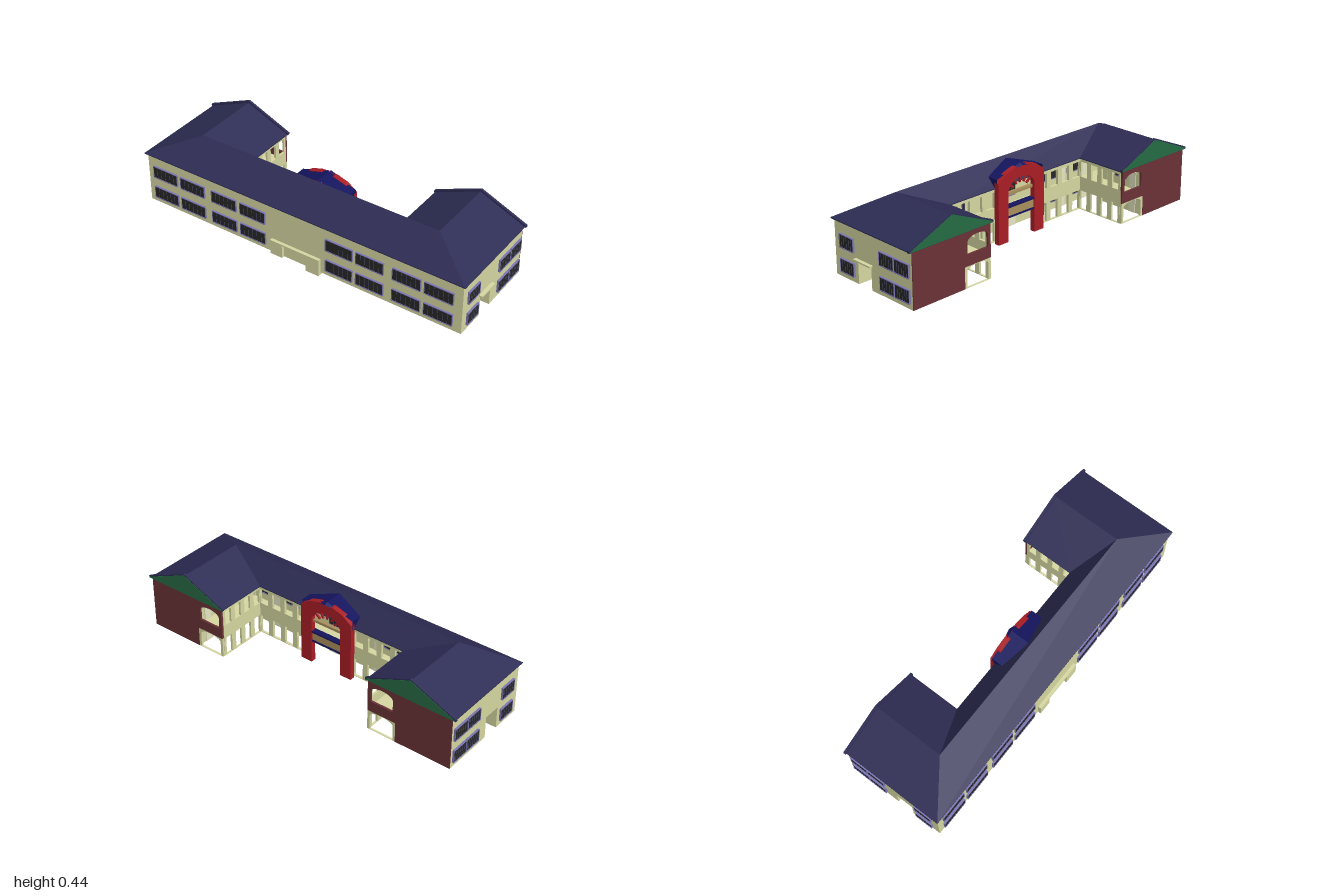
import * as THREE from 'three';

const mat = (color, side = THREE.FrontSide) => new THREE.MeshStandardMaterial({ color, side, flatShading: true });
const WALL = mat(0xd6d8a2), ROOF = mat(0x2d2c54, THREE.DoubleSide), GLASS = mat(0x262626), FRAME = mat(0x7c76b4);
const BRICK = mat(0x6b3236), RED = mat(0xaa1e26), GREEN = mat(0x266b43), BLUE = mat(0x14145e, THREE.DoubleSide);
const TAN = mat(0xa98f5c), DOOR = mat(0xe6e6c4), LINE = mat(0x55557a);

function add(parent, name, geo, material) {
  const m = new THREE.Mesh(geo, material);
  m.name = name;
  parent.add(m);
  return m;
}

// Box given by its limits on each axis
function box(parent, name, material, x0, x1, y0, y1, z0, z1) {
  const m = add(parent, name, new THREE.BoxGeometry(Math.abs(x1 - x0), y1 - y0, z1 - z0), material);
  m.position.set((x0 + x1) / 2, (y0 + y1) / 2, (z0 + z1) / 2);
  return m;
}

// Flat polygons, each a fan of corner points
function facets(parent, name, material, polys) {
  const p = [];
  for (const q of polys) for (let i = 1; i < q.length - 1; i++) p.push(...q[0], ...q[i], ...q[i + 1]);
  const g = new THREE.BufferGeometry();
  g.setAttribute('position', new THREE.Float32BufferAttribute(p, 3));
  g.computeVertexNormals();
  return add(parent, name, g, material);
}

// Opening with a straight or arched head
function opening(x0, x1, y0, y1, rise = 0) {
  const h = new THREE.Path();
  h.moveTo(x0, y0).lineTo(x1, y0).lineTo(x1, y1 - rise);
  if (rise) h.absellipse((x0 + x1) / 2, y1 - rise, (x1 - x0) / 2, rise, 0, Math.PI, false);
  else h.lineTo(x1, y1).lineTo(x0, y1);
  h.closePath();
  return h;
}

// Upright panel with openings
function panel(parent, name, material, x0, x1, y0, y1, depth, holes) {
  const s = new THREE.Shape([[x0, y0], [x1, y0], [x1, y1], [x0, y1]].map(a => new THREE.Vector2(...a)));
  s.holes = holes;
  return add(parent, name, new THREE.ExtrudeGeometry(s, { depth, bevelEnabled: false, curveSegments: 8 }), material);
}

// Window that looks along +z, centred on its own origin
function windowUnit(parent, x, y, z, turn, w = 0.162, h = 0.07) {
  const g = new THREE.Group();
  g.name = 'window';
  box(g, 'glass', GLASS, -w / 2, w / 2, -h / 2, h / 2, -0.004, 0.005);
  for (const s of [-1, 1]) {
    box(g, 'frameRail', FRAME, -w / 2, w / 2, s * h / 2 - 0.002, s * h / 2 + 0.002, -0.004, 0.008);
    box(g, 'frameSide', FRAME, s * w / 2 - 0.001, s * w / 2 + 0.001, -h / 2, h / 2, -0.004, 0.008);
  }
  for (let i = 1; i < 6; i++) {
    const mx = -w / 2 + w * i / 6;
    box(g, 'mullion', LINE, mx - 0.0008, mx + 0.0008, -h / 2, h / 2, 0, 0.006);
  }
  g.position.set(x, y, z);
  g.rotation.y = turn;
  parent.add(g);
}

// Openings of the two gallery storeys, evenly spaced
function galleryHoles(x0, x1, bays) {
  const holes = [], step = (x1 - x0) / bays;
  for (let i = 0; i < bays; i++) {
    const a = x0 + i * step + 0.015, b = x0 + (i + 1) * step - 0.015;
    holes.push(opening(a, b, 0.205, 0.292), opening(a, b, 0.018, 0.125));
  }
  return holes;
}

export function createModel() {
  const model = new THREE.Group();
  model.name = 'courtyardBuilding';

  // Main range and its corridor
  box(model, 'frontRooms', WALL, -0.975, 0.975, 0.015, 0.312, 0.11, 0.282);
  box(model, 'corridorFloor', WALL, -0.975, 0.975, 0.14, 0.15, 0.01, 0.11);
  for (const x of [-0.857, -0.672, -0.462, -0.275, 0.265, 0.448, 0.662, 0.845])
    for (const y of [0.08, 0.21]) windowUnit(model, x, y, 0.284, 0);

  // Front entrance surround
  box(model, 'entranceLintel', WALL, -0.155, 0.15, 0.09, 0.1, 0.28, 0.3);
  box(model, 'entrancePier', WALL, -0.155, -0.08, 0.015, 0.09, 0.28, 0.3);
  box(model, 'entrancePier', WALL, 0.07, 0.15, 0, 0.09, 0.28, 0.3);
  box(model, 'entranceFooting', WALL, 0.07, 0.15, 0, 0.015, 0.178, 0.28);

  for (const s of [-1, 1]) {
    const wing = new THREE.Group();
    wing.name = s > 0 ? 'leftWing' : 'rightWing';
    model.add(wing);

    // Rooms, upper passage end, gallery floor
    box(wing, 'wingRooms', WALL, s * 0.65, s * 0.975, 0.015, 0.312, -0.289, 0.01);
    box(wing, 'passageEndWall', WALL, s * 0.96, s * 0.975, 0.142, 0.312, 0.01, 0.11);
    box(wing, 'galleryFloor', WALL, s * 0.48, s * 0.65, 0.14, 0.15, -0.28, 0.01);
    box(wing, 'brickEndWall', BRICK, s * 0.65, s * 0.975, 0.015, 0.315, -0.293, -0.288);

    // End of the gallery: arches over two storeys
    const a = Math.min(s * 0.48, s * 0.65), b = a + 0.17;
    panel(wing, 'upperEndArch', BRICK, a, b, 0.13, 0.312, 0.012,
      [opening(a + 0.018, b - 0.018, 0.19, 0.285, 0.03)]).position.z = -0.293;
    panel(wing, 'lowerEndArch', WALL, a, b, 0.015, 0.13, 0.012,
      [opening(a + 0.015, b - 0.015, 0.017, 0.127, 0.025)]).position.z = -0.292;

    // Gallery front towards the court
    const side = panel(wing, 'wingGallery', WALL, -0.02, 0.28, 0.015, 0.312, 0.012, galleryHoles(-0.02, 0.28, 4));
    side.rotation.y = Math.PI / 2;
    side.position.x = s > 0 ? 0.478 : -0.49;
    const c = Math.min(s * 0.15, s * 0.49);
    panel(wing, 'courtGallery', WALL, c, c + 0.34, 0.015, 0.312, 0.015, galleryHoles(c, c + 0.34, 4)).position.z = 0.01;

    // Outer side windows
    for (const y of [0.08, 0.21]) for (const z of [0.187, -0.112, -0.222])
      windowUnit(wing, s * 0.978, y, z, s * Math.PI / 2, 0.104);

    // Doors and windows behind the galleries
    for (const y of [0.015, 0.15]) {
      for (const x of [0.24, 0.44, 0.62, 0.85])
        box(wing, 'roomDoor', DOOR, s * x - 0.022, s * x + 0.022, y, y + 0.1, 0.106, 0.112);
      for (const x of [0.335, 0.53]) windowUnit(wing, s * x, y + 0.075, 0.109, Math.PI, 0.1, 0.055);
      for (const z of [-0.06, -0.22])
        box(wing, 'wingDoor', DOOR, s * 0.646, s * 0.652, y, y + 0.1, z - 0.022, z + 0.022);
      windowUnit(wing, s * 0.649, y + 0.075, -0.14, -s * Math.PI / 2, 0.08, 0.055);
    }

    // Eaves and gable
    box(wing, 'wingEaves', ROOF, s * 0.47, s * 0.988, 0.31, 0.315, -0.29, 0.005);
    const tri = new THREE.Shape([[0.465, 0.312], [0.995, 0.312], [0.995, 0.324], [0.73, 0.437], [0.465, 0.324]]
      .map(p => new THREE.Vector2(s * p[0], p[1])));
    add(wing, 'gableCap', new THREE.ExtrudeGeometry(tri, { depth: 0.014, bevelEnabled: false }), ROOF).position.z = -0.298;
    const face = new THREE.Shape([[0.472, 0.314], [0.988, 0.314], [0.988, 0.32], [0.73, 0.43], [0.472, 0.32]]
      .map(p => new THREE.Vector2(s * p[0], p[1])));
    add(wing, 'gableFace', new THREE.ExtrudeGeometry(face, { depth: 0.004, bevelEnabled: false }), GREEN).position.z = -0.3;

    // Wing roof slopes
    facets(wing, 'wingRoof', ROOF, [
      [[s * 0.988, 0.315, 0.295], [s * 0.988, 0.315, -0.29], [s * 0.73, 0.425, -0.29], [s * 0.73, 0.425, 0.11]],
      [[s * 0.47, 0.315, 0.005], [s * 0.73, 0.425, 0.11], [s * 0.73, 0.425, -0.29], [s * 0.47, 0.315, -0.29]],
    ]);
  }

  // Canopy over the side passage
  box(model, 'sideCanopy', WALL, 0.97, 0.995, 0.142, 0.15, 0, 0.125);

  // Main roof
  box(model, 'mainEaves', ROOF, -0.988, 0.988, 0.31, 0.315, 0.005, 0.295);
  facets(model, 'mainRoof', ROOF, [
    [[-0.988, 0.315, 0.295], [0.988, 0.315, 0.295], [0.73, 0.425, 0.11], [-0.73, 0.425, 0.11]],
    [[0.47, 0.315, 0.005], [-0.47, 0.315, 0.005], [-0.73, 0.425, 0.11], [0.73, 0.425, 0.11]],
  ]);

  // Court portico: tall arch, balconies, lunette and roof
  const portico = new THREE.Group();
  portico.name = 'portico';
  model.add(portico);
  const arch = new THREE.Shape([[-0.165, 0.005], [-0.095, 0.005], [-0.095, 0.29], [-0.07, 0.325], [-0.03, 0.345], [0.03, 0.345],
    [0.07, 0.325], [0.095, 0.29], [0.095, 0.005], [0.165, 0.005], [0.165, 0.345], [0.11, 0.385], [0.045, 0.405],
    [-0.045, 0.405], [-0.11, 0.385], [-0.165, 0.345]].map(p => new THREE.Vector2(...p)));
  add(portico, 'redArch', new THREE.ExtrudeGeometry(arch, { depth: 0.03, bevelEnabled: false }), RED).position.z = -0.022;
  for (let i = -2; i <= 2; i++) {
    const bar = add(portico, 'lunetteBar', new THREE.BoxGeometry(0.01, 0.04, 0.01), RED);
    bar.position.set(Math.sin(i * 0.45) * 0.08, 0.265 + Math.cos(i * 0.45) * 0.065, -0.008);
    bar.rotation.z = -i * 0.45;
  }
  box(portico, 'balcony', TAN, -0.1, 0.1, 0.14, 0.195, -0.015, 0.012);
  for (const y of [0.14, 0.195]) box(portico, 'balconyRail', BLUE, -0.1, 0.1, y - 0.004, y + 0.005, -0.02, 0.014);
  box(portico, 'upperBeam', TAN, -0.1, 0.1, 0.255, 0.27, -0.008, 0.012);
  box(portico, 'hallDoor', DOOR, -0.08, 0.08, 0.015, 0.12, 0.105, 0.112);
  windowUnit(portico, 0, 0.225, 0.109, Math.PI, 0.15, 0.07);
  facets(portico, 'porticoRoof', BLUE, [
    [[-0.165, 0.365, -0.01], [0, 0.415, -0.01], [0, 0.415, 0.095], [-0.165, 0.365, 0.055]],
    [[0.165, 0.365, -0.01], [0.165, 0.365, 0.055], [0, 0.415, 0.095], [0, 0.415, -0.01]],
    [[-0.11, 0.385, -0.01], [0, 0.408, -0.03], [0, 0.418, -0.01]],
    [[0.11, 0.385, -0.01], [0, 0.418, -0.01], [0, 0.408, -0.03]],
    [[-0.165, 0.365, -0.01], [-0.165, 0.365, 0.055], [-0.165, 0.31, 0.01], [-0.165, 0.31, -0.01]],
    [[0.165, 0.365, -0.01], [0.165, 0.31, -0.01], [0.165, 0.31, 0.01], [0.165, 0.365, 0.055]],
  ]);
  return model;
}
